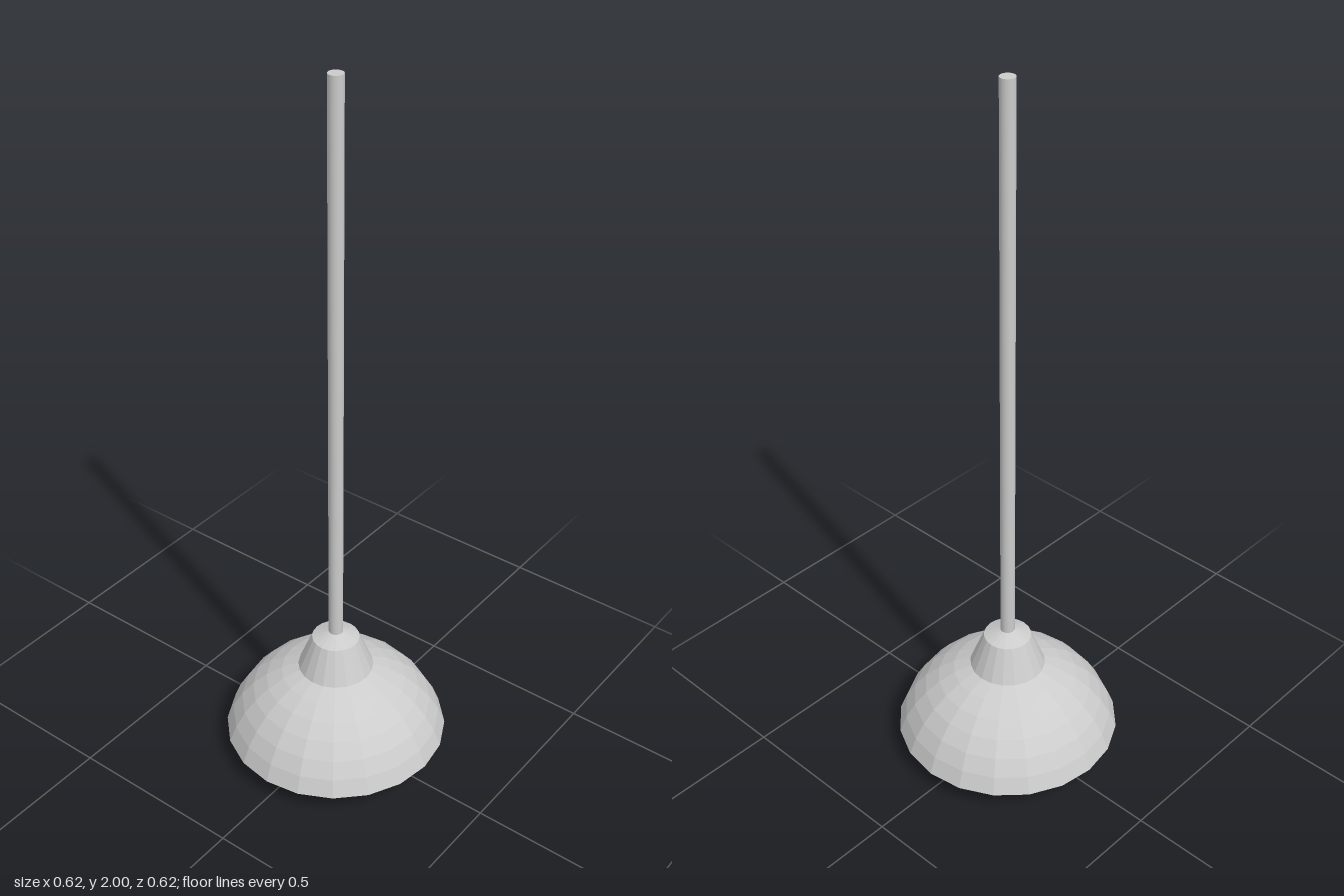
import * as THREE from 'three';

const v = (r, y) => new THREE.Vector2(r, y);

export function createModel() {
  const lamp = new THREE.Group();
  lamp.name = 'pendantLamp';

  const smooth = new THREE.MeshStandardMaterial({ color: 0xcccccc });
  const faceted = new THREE.MeshStandardMaterial({
    color: 0xcccccc, flatShading: true, side: THREE.DoubleSide,
  });

  const add = (name, geometry, material) => {
    const mesh = new THREE.Mesh(geometry, material);
    mesh.name = name;
    lamp.add(mesh);
    return mesh;
  };

  // Hanging rod
  add('rod', new THREE.CylinderGeometry(0.02, 0.02, 1.63, 20), smooth).position.y = 1.185;

  // Conical cap over the socket, with a shallow sloping top
  const capProfile = [v(0.106, 0.275), v(0.066, 0.376), v(0.018, 0.396)];
  add('cap', new THREE.LatheGeometry(capProfile, 20), faceted);

  // Thin open dome: an arc of a sphere cut off above and below
  const radius = 0.326, centreY = -0.031, rings = 6;
  const shadeProfile = [];
  for (let i = 0; i <= rings; i++) {
    const a = THREE.MathUtils.degToRad(73.2 - (i * (73.2 - 18.8)) / rings);
    shadeProfile.push(v(radius * Math.sin(a), centreY + radius * Math.cos(a)));
  }
  add('shade', new THREE.LatheGeometry(shadeProfile, 20), faceted);

  // Bulb: round globe that narrows into a neck inside the cap
  const bulbR = 0.092, bulbProfile = [];
  for (let i = 0; i <= 12; i++) {
    const a = (i / 12) * THREE.MathUtils.degToRad(135);
    bulbProfile.push(v(bulbR * Math.sin(a), bulbR - bulbR * Math.cos(a)));
  }
  bulbProfile.push(v(0.053, 0.176), v(0.047, 0.2), v(0.045, 0.23), v(0.045, 0.3));
  add('bulb', new THREE.LatheGeometry(bulbProfile, 28), smooth);

  return lamp;
}
